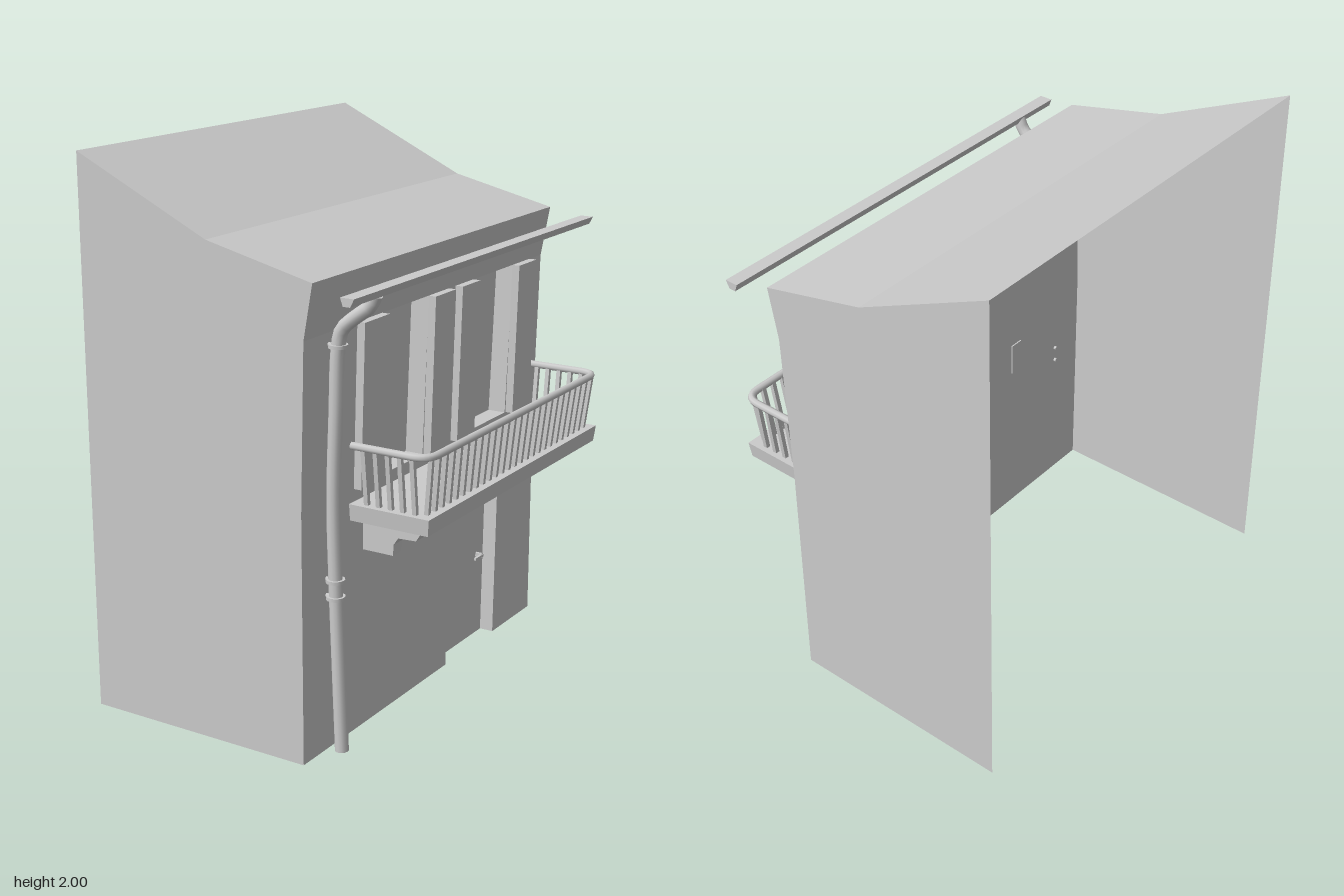
import * as THREE from 'three';

const V = (x, y, z) => new THREE.Vector3(x, y, z);
const mat = new THREE.MeshStandardMaterial({ color: 0xcccccc, side: THREE.DoubleSide });
const HALF = 0.82;          // half width of the facade
const Y1 = 0.89, Y2 = 1.47; // bends of the facade, also window sill and head

// Leaning facade: x of the wall surface at height y
const PROFILE = [[0.28, 0], [0.28, Y1], [0.295, Y2], [0.33, 1.66]];
function wallX(y) {
  for (let i = 1; i < PROFILE.length; i++) {
    const [xa, ya] = PROFILE[i - 1], [xb, yb] = PROFILE[i];
    if (y <= yb) return xa + (xb - xa) * (y - ya) / (yb - ya);
  }
  return 0.33;
}

function add(parent, name, geometry) {
  const mesh = new THREE.Mesh(geometry, mat);
  mesh.name = name;
  parent.add(mesh);
  return mesh;
}

const shape = pts => new THREE.Shape(pts.map(p => new THREE.Vector2(p[0], p[1])));

// Flat-shaded quads given as four corners each
function quads(list) {
  const pos = [];
  for (const [a, b, c, d] of list) for (const p of [a, b, c, a, c, d]) pos.push(p.x, p.y, p.z);
  const g = new THREE.BufferGeometry();
  g.setAttribute('position', new THREE.Float32BufferAttribute(pos, 3));
  g.computeVertexNormals();
  return g;
}

// Facade piece outlined in (z, y), laid on the leaning wall
function facadePiece(pts) {
  const g = new THREE.ShapeGeometry(shape(pts.map(([z, y]) => [-z, y])));
  const p = g.attributes.position;
  for (let i = 0; i < p.count; i++) p.setXYZ(i, wallX(p.getY(i)), p.getY(i), -p.getX(i));
  g.computeVertexNormals();
  return g;
}

// Recess behind a (z, y) outline: jambs and a back panel
function recess(pts, depth, openBottom) {
  const outer = pts.map(([z, y]) => V(wallX(y), y, z));
  const inner = outer.map(p => V(p.x - depth, p.y, p.z));
  const list = [inner];
  for (let i = 0; i < (openBottom ? 3 : 4); i++) {
    const j = (i + 1) % 4;
    list.push([outer[i], outer[j], inner[j], inner[i]]);
  }
  return quads(list);
}

// Square bar between two points
function bar(parent, name, a, b, w) {
  const d = b.clone().sub(a);
  const m = add(parent, name, new THREE.BoxGeometry(w, d.length(), w));
  m.position.copy(a).add(b).multiplyScalar(0.5);
  m.quaternion.setFromUnitVectors(V(0, 1, 0), d.normalize());
  return m;
}

// Solid with an (x, y) profile running along z
function prism(pts, z0, z1) {
  return new THREE.ExtrudeGeometry(shape(pts), { depth: z1 - z0, bevelEnabled: false }).translate(0, 0, z0);
}

function buildHouse() {
  const house = new THREE.Group();
  house.name = 'house';
  // Side walls; rear and underside stay open
  const side = shape([[-0.605, 0], ...PROFILE, [-0.08, 1.755], [-0.605, 2]]);
  add(house, 'leftSideWall', new THREE.ShapeGeometry(side).translate(0, 0, HALF));
  add(house, 'rightSideWall', new THREE.ShapeGeometry(side).rotateY(Math.PI).scale(-1, 1, 1).translate(0, 0, -HALF));
  // Roof with one bend
  const ridge = [[0.33, 1.66], [-0.08, 1.755], [-0.605, 2]];
  add(house, 'roof', quads([0, 1].map(i => {
    const [a, b] = [ridge[i], ridge[i + 1]];
    return [V(...a, HALF), V(...a, -HALF), V(...b, -HALF), V(...b, HALF)];
  })));
  // Door and window outlines run foot, head, head, foot
  const door = [[-0.14, 0], [-0.12, 0.575], [-0.53, 0.575], [-0.515, 0]];
  const windows = [
    [[0.34, Y1], [0.35, Y2], [0.04, Y2], [0.048, Y1]],
    [[-0.29, Y1], [-0.275, Y2], [-0.59, Y2], [-0.578, Y1]],
  ];
  const [w1, w2] = windows;
  add(house, 'lowerFacade', facadePiece([[HALF, 0], ...door, [-HALF, 0], [-HALF, Y1], [HALF, Y1]]));
  add(house, 'upperFacade', facadePiece([[HALF, Y2], [-HALF, Y2], [-HALF, 1.66], [HALF, 1.66]]));
  const piers = [
    [[HALF, Y1], w1[0], w1[1], [HALF, Y2]],
    [w1[3], w2[0], w2[1], w1[2]],
    [w2[3], [-HALF, Y1], [-HALF, Y2], w2[2]],
  ];
  piers.forEach(p => add(house, 'facadePier', facadePiece(p)));
  add(house, 'door', recess(door, 0.055, true));
  windows.forEach(w => add(house, 'window', recess(w, 0.07, false)));
  // Door handle
  add(house, 'doorHandle', new THREE.BoxGeometry(0.01, 0.01, 0.06)).position.set(0.25, 0.33, -0.447);
  add(house, 'handleStem', new THREE.BoxGeometry(0.03, 0.016, 0.012)).position.set(0.237, 0.33, -0.47);
  // Open shutters lying against the wall
  const foot = wallX(Y1), head = wallX(Y2), t = 0.03;
  const leaf = [[foot, Y1], [foot + t, Y1], [head + t, Y2], [head, Y2]];
  for (const [z0, z1] of [[0.35, 0.505], [-0.1, 0.042], [-0.28, -0.15], [-0.725, -0.585]])
    add(house, 'shutter', prism(leaf, z0, z1));
  return house;
}

function buildBalcony() {
  const balcony = new THREE.Group();
  balcony.name = 'balcony';
  const mid = -0.105;
  // Slab, slightly narrower below
  const slab = new THREE.BoxGeometry(0.31, 0.06, 1.28);
  const p = slab.attributes.position;
  for (let i = 0; i < p.count; i++) if (p.getY(i) < 0) {
    p.setZ(i, p.getZ(i) * 0.99);
    if (p.getX(i) > 0) p.setX(i, p.getX(i) - 0.007);
  }
  slab.computeVertexNormals();
  add(balcony, 'balconySlab', slab).position.set(0.435, 0.815, mid);
  // Stepped support brackets
  const step = [[0.275, 0.655], [0.4, 0.655], [0.402, 0.695], [0.42, 0.722], [0.49, 0.725], [0.528, 0.787], [0.275, 0.787]];
  for (const z of [0.418, -0.61]) add(balcony, 'bracket', prism(step, z - 0.028, z + 0.028));
  // Handrail with rounded corners
  const X = 0.583, h = 0.638, r = 0.065, y = 1.052, path = new THREE.CurvePath();
  path.add(new THREE.LineCurve3(V(0.29, y, mid + h), V(X - r, y, mid + h)));
  path.add(new THREE.QuadraticBezierCurve3(V(X - r, y, mid + h), V(X, y, mid + h), V(X, y, mid + h - r)));
  path.add(new THREE.LineCurve3(V(X, y, mid + h - r), V(X, y, mid - h + r)));
  path.add(new THREE.QuadraticBezierCurve3(V(X, y, mid - h + r), V(X, y, mid - h), V(X - r, y, mid - h)));
  path.add(new THREE.LineCurve3(V(X - r, y, mid - h), V(0.29, y, mid - h)));
  add(balcony, 'handrail', new THREE.TubeGeometry(path, 140, 0.014, 8));
  // Balusters leaning outwards
  const n = 26;
  for (let i = 0; i < n; i++) {
    const k = i / (n - 1) * 2 - 1;
    bar(balcony, 'frontBaluster', V(0.555, 0.84, mid + k * 0.59), V(0.578, y, mid + k * 0.605), 0.016);
  }
  for (const s of [-1, 1]) for (let i = 0; i < 5; i++) {
    const x = 0.335 + i * 0.047;
    bar(balcony, 'sideBaluster', V(x, 0.84, mid + s * 0.612), V(x, y, mid + s * 0.636), 0.016);
  }
  return balcony;
}

function buildDrainage() {
  const drainage = new THREE.Group();
  drainage.name = 'drainage';
  const z = 0.675;
  // Gutter
  add(drainage, 'gutter', prism([[0.458, 1.606], [0.485, 1.606], [0.499, 1.634], [0.448, 1.634]], -0.845, 0.845));
  // Downpipe following the crooked wall
  const pts = [[0.339, 0.01], [0.328, 0.3], [0.317, 0.6], [0.31, 0.9], [0.32, 1.2], [0.33, 1.42],
    [0.345, 1.485], [0.4, 1.535], [0.45, 1.573], [0.472, 1.615]].map(([x, y]) => V(x, y, z));
  add(drainage, 'downpipe', new THREE.TubeGeometry(new THREE.CatmullRomCurve3(pts), 60, 0.024, 12));
  add(drainage, 'pipeEnd', new THREE.CircleGeometry(0.024, 12).rotateX(Math.PI / 2)).position.set(0.339, 0.011, z);
  // Pipe clamps fixed into the wall
  for (const [x, y] of [[0.317, 0.565], [0.316, 0.625], [0.33, 1.43]]) {
    add(drainage, 'pipeClamp', new THREE.CylinderGeometry(0.033, 0.033, 0.012, 16)).position.set(x, y, z);
    const pin = add(drainage, 'clampPin', new THREE.CylinderGeometry(0.008, 0.008, 0.05, 8).rotateZ(Math.PI / 2));
    pin.position.set(wallX(y) + 0.015, y, z);
  }
  return drainage;
}

export function createModel() {
  const model = new THREE.Group();
  model.name = 'balconyHouse';
  model.add(buildHouse(), buildBalcony(), buildDrainage());
  return model;
}
